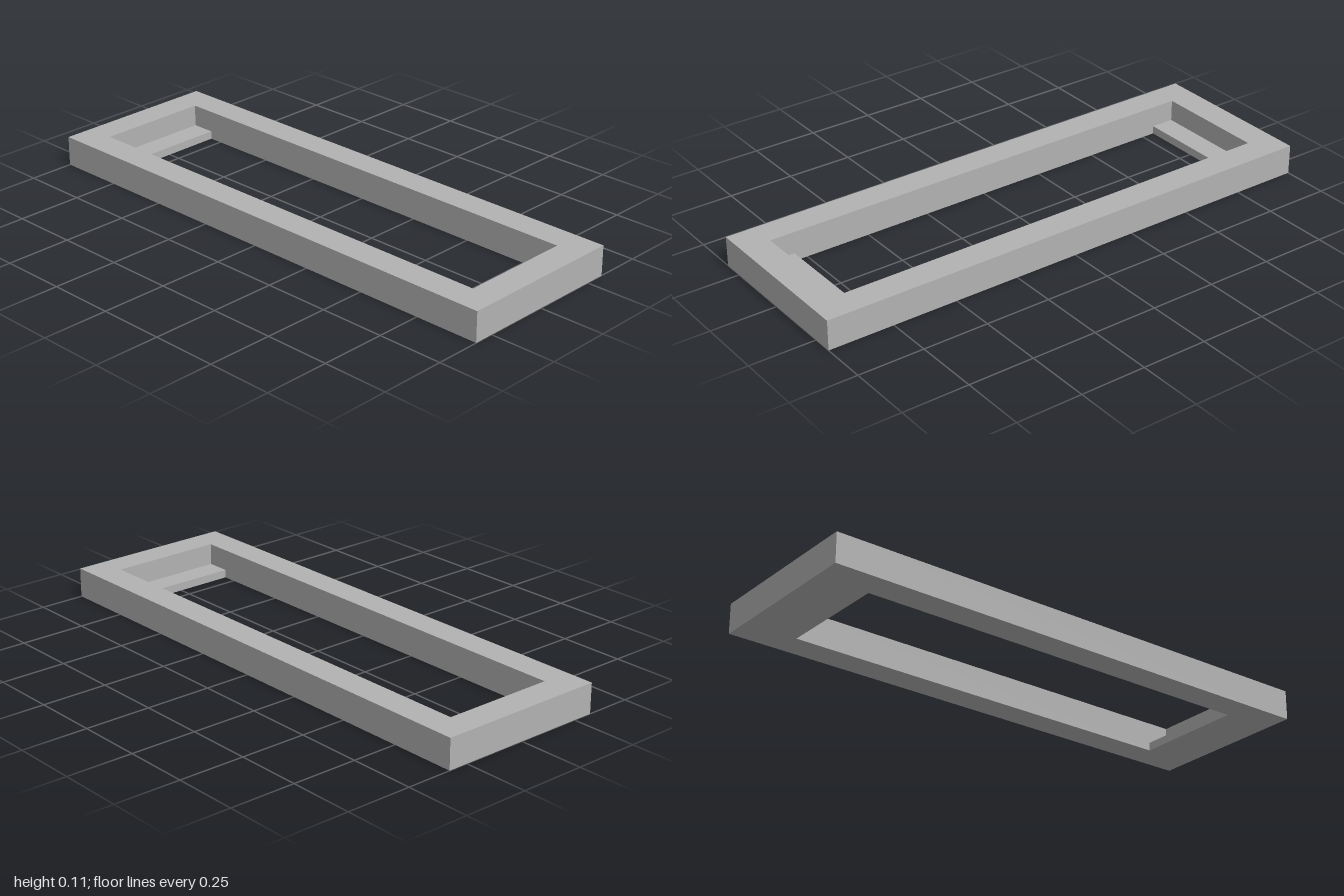
import * as THREE from 'three';

const LENGTH = 2, DEPTH = 0.652, HEIGHT = 0.113;
const HOLE_X = 0.89, HOLE_Z = 0.217; // half sizes of the opening
const LEDGE_X = 0.8, LEDGE_HEIGHT = 0.031;

export function createModel() {
  const model = new THREE.Group();
  model.name = 'rectangularFrame';
  const grey = new THREE.MeshStandardMaterial({ color: 0xb2b2b2 });
  grey.name = 'grey';

  // Rectangular frame with a through opening
  const outline = new THREE.Shape([
    new THREE.Vector2(-LENGTH / 2, -DEPTH / 2),
    new THREE.Vector2(LENGTH / 2, -DEPTH / 2),
    new THREE.Vector2(LENGTH / 2, DEPTH / 2),
    new THREE.Vector2(-LENGTH / 2, DEPTH / 2),
  ]);
  outline.holes.push(new THREE.Path([
    new THREE.Vector2(-HOLE_X, -HOLE_Z),
    new THREE.Vector2(-HOLE_X, HOLE_Z),
    new THREE.Vector2(HOLE_X, HOLE_Z),
    new THREE.Vector2(HOLE_X, -HOLE_Z),
  ]));
  const frameGeometry = new THREE.ExtrudeGeometry(outline, { depth: HEIGHT, bevelEnabled: false });
  frameGeometry.rotateX(-Math.PI / 2);
  const frame = new THREE.Mesh(frameGeometry, grey);
  frame.name = 'frame';
  model.add(frame);

  // Thin ledges at both ends of the opening, flush with the underside
  for (const side of [-1, 1]) {
    const ledge = new THREE.Mesh(
      new THREE.BoxGeometry(HOLE_X - LEDGE_X, LEDGE_HEIGHT, HOLE_Z * 2), grey);
    ledge.position.set(side * (HOLE_X + LEDGE_X) / 2, LEDGE_HEIGHT / 2, 0);
    ledge.name = side > 0 ? 'leftLedge' : 'rightLedge';
    model.add(ledge);
  }
  return model;
}
